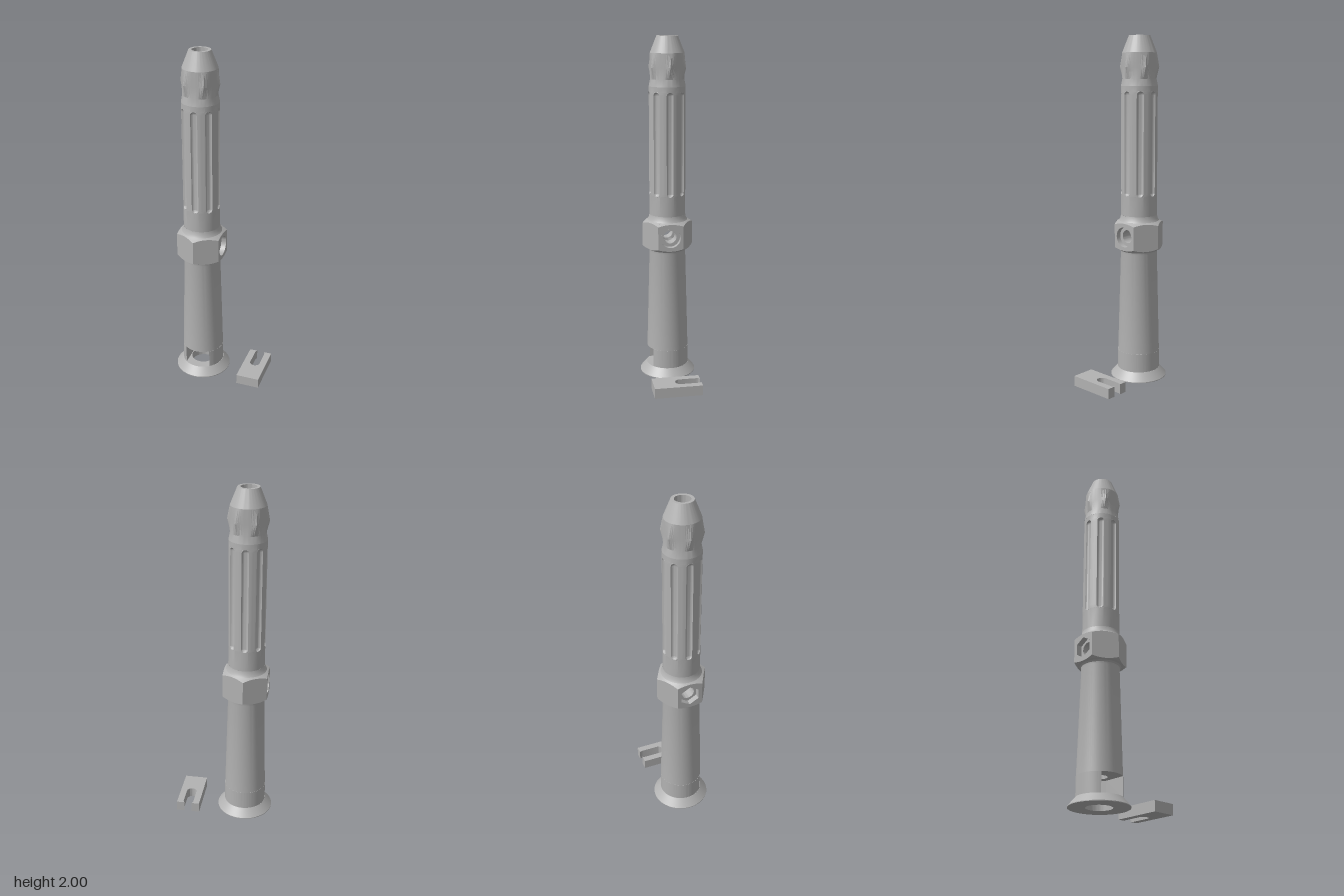
import * as THREE from 'three';
import { toCreasedNormals } from 'three/addons/utils/BufferGeometryUtils.js';

const V2 = (x, y) => new THREE.Vector2(x, y);
const grey = new THREE.MeshStandardMaterial({ color: 0xb2b2b2, side: THREE.DoubleSide });
grey.name = 'plain grey';

const HEX = 0.128;      // hex collar apothem
const BORE = 0.043;

function part(name, geo, parent, crease = 0.45) {
  const mesh = new THREE.Mesh(toCreasedNormals(geo, crease), grey);
  mesh.name = name;
  parent.add(mesh);
  return mesh;
}

const lathe = (pts, segs = 64, start = 0) =>
  new THREE.LatheGeometry(pts.map(p => V2(p[0], p[1])), segs, start);

// Skin over closed rings of points, listed from bottom to top
function loft(rings) {
  const n = rings[0].length, pos = rings.flat(2), idx = [];
  for (let i = 0; i < rings.length - 1; i++) {
    for (let j = 0; j < n; j++) {
      const k = (j + 1) % n, a = i * n, c = a + n;
      idx.push(a + j, c + j, a + k, a + k, c + j, c + k);
    }
  }
  const g = new THREE.BufferGeometry();
  g.setAttribute('position', new THREE.Float32BufferAttribute(pos, 3));
  g.setIndex(idx);
  g.computeVertexNormals();
  return g;
}

// Ring whose radius and height depend on the angle
function ring(radius, height, n = 72) {
  return Array.from({ length: n }, (_, j) => {
    const t = j / n * Math.PI * 2, r = radius(t);
    return [r * Math.cos(t), height(r), r * Math.sin(t)];
  });
}
const circle = (r, y) => ring(() => r, () => y);
// Hexagon radius; mid = angle of the first flat's centre
const hexRadius = (apothem, mid) => t => {
  const s = Math.PI / 3;
  const d = (((t - mid + s / 2) % s) + s) % s - s / 2;
  return apothem / Math.cos(d);
};

// Ring with eight round grooves of half width w
function flutedRing(r, y, w) {
  const pts = [], steps = 10, land = 4;
  const add = (t, rr) => pts.push([rr * Math.cos(t), y, rr * Math.sin(t)]);
  const half = Math.max(w, 0.0005) / r;
  for (let f = 0; f < 8; f++) {
    const c = f * Math.PI / 4;
    for (let i = 0; i <= steps; i++) {
      const u = i / steps * 2 - 1;
      add(c + half * u, r - 0.7 * w * Math.sqrt(1 - u * u));
    }
    for (let i = 1; i < land; i++) add(c + half + (Math.PI / 4 - 2 * half) * i / land, r);
  }
  return pts;
}

function slottedSection() {
  const r = 0.1235, w = 0.075, a = -Math.acos(w / r);
  const s = new THREE.Shape();
  s.absarc(0, 0, r, a, Math.PI - a, false);
  [[-w, 0.03], [-0.045, 0.075], [0.045, 0.075], [w, 0.03]].forEach(p => s.lineTo(p[0], p[1]));
  s.closePath();
  return new THREE.ExtrudeGeometry(s, { depth: 0.11, bevelEnabled: false, curveSegments: 48 })
    .rotateX(-Math.PI / 2).translate(0, 0.05, 0);
}

const collarTop = r => 0.94 - 0.6 * (r - HEX);
const collarLow = r => 0.78 + 0.6 * (r - HEX);
const HOLE_Y = 0.86;

// One collar side with curved upper and lower edges
function collarSide(hole) {
  const s = new THREE.Shape(), w = HEX * Math.tan(Math.PI / 6), pts = [];
  for (let i = 0; i <= 12; i++) {
    const u = w * (i / 6 - 1);
    pts.push(V2(u, collarLow(Math.hypot(HEX, u))));
  }
  for (let i = 12; i >= 0; i--) {
    const u = w * (i / 6 - 1);
    pts.push(V2(u, collarTop(Math.hypot(HEX, u))));
  }
  s.setFromPoints(pts);
  if (hole) s.holes.push(hole);
  return new THREE.ShapeGeometry(s, 32).translate(0, 0, HEX).rotateY(Math.PI / 2);
}

function hexPoints(r, y) {
  return Array.from({ length: 6 }, (_, i) => {
    const t = Math.PI / 6 + i * Math.PI / 3;
    return V2(r * Math.cos(t), y + r * Math.sin(t));
  });
}

function addCollar(body) {
  const collar = new THREE.Group();
  collar.name = 'hexCollar';
  body.add(collar);
  const hexR = hexRadius(HEX, 0);
  part('collarUpperChamfer', loft([ring(hexR, collarTop), circle(HEX, 0.94)]), collar);
  part('collarLowerChamfer', loft([circle(HEX, 0.78), ring(hexR, collarLow)]), collar);

  const round = new THREE.Path().absarc(0, HOLE_Y, 0.058, 0, Math.PI * 2, true);
  const socket = new THREE.Path().setFromPoints(hexPoints(0.06, HOLE_Y));
  for (let i = 0; i < 6; i++) {
    const hole = i === 0 ? round : i === 3 ? socket : null;
    part('collarSide', collarSide(hole), collar).rotation.y = i * Math.PI / 3;
  }
  // Stepped round hole on one side, hexagonal nut socket on the other
  part('roundSocket', lathe([[0.058, HEX], [0.058, 0.098], [0.038, 0.098], [0.038, 0.03]], 40)
    .rotateZ(-Math.PI / 2).translate(0, HOLE_Y, 0), collar);
  part('nutSocket', lathe([[0.06, HEX], [0.06, 0.095]], 6, Math.PI / 6)
    .rotateZ(Math.PI / 2).translate(0, HOLE_Y, 0), collar);
  const floor = new THREE.Shape(hexPoints(0.06, 0));
  floor.holes.push(new THREE.Path().absarc(0, 0, 0.038, 0, Math.PI * 2, true));
  part('nutSocketFloor', new THREE.ShapeGeometry(floor, 32).translate(0, 0, 0.095)
    .rotateY(-Math.PI / 2).translate(0, HOLE_Y, 0), collar);
  part('crossHole', lathe([[0.038, 0.095], [0.038, 0.03]], 40)
    .rotateZ(Math.PI / 2).translate(0, HOLE_Y, 0), collar);
}

function lockingPlate() {
  const s = new THREE.Shape(), cx = 0.214, a = Math.asin(0.02 / 0.03);
  s.moveTo(0.145, -0.138);
  s.lineTo(0.283, -0.138);
  s.lineTo(0.283, 0.14);
  s.absarc(cx, 0.12, 0.03, a, 0, true);
  s.absarc(cx, 0.02, 0.03, 0, -Math.PI, true);
  s.absarc(cx, 0.12, 0.03, Math.PI, Math.PI - a, true);
  s.lineTo(0.145, 0.14);
  s.closePath();
  return new THREE.ExtrudeGeometry(s, { depth: 0.06, bevelEnabled: false, curveSegments: 20 })
    .rotateX(-Math.PI / 2);
}

export function createModel() {
  const model = new THREE.Group();
  model.name = 'slottedHandle';
  const body = new THREE.Group();
  body.name = 'handleBody';
  body.position.x = -0.12;
  model.add(body);

  // Foot and lower barrel
  part('footFlange', lathe([[0.072, 0.05], [0.072, 0], [0.165, 0], [0.165, 0.004], [0.125, 0.05], [0.072, 0.05]]), body);
  part('slottedSection', slottedSection(), body);
  part('lowerBarrel', lathe([[BORE, 0.16], [0.1225, 0.16], [0.106, 0.755], [0.108, 0.768], [0.115, 0.776], [HEX, 0.78]]), body);
  addCollar(body);

  // Fluted grip
  part('gripFillet', lathe([[HEX, 0.94], [0.117, 0.947], [0.109, 0.96], [0.105, 0.98]]), body);
  const rows = [flutedRing(0.105, 0.98, 0), flutedRing(0.105, 1.095, 0)];
  const w = 0.02;
  for (let i = 0; i <= 8; i++) {
    const t = i / 8 * Math.PI / 2;
    rows.push(flutedRing(0.105, 1.115 - w * Math.cos(t), w * Math.sin(t)));
  }
  for (let i = 8; i >= 0; i--) {
    const t = i / 8 * Math.PI / 2;
    rows.push(flutedRing(0.105, 1.67 + w * Math.cos(t), w * Math.sin(t)));
  }
  rows.push(flutedRing(0.105, 1.72, 0));
  part('flutedGrip', loft(rows), body);

  // Faceted head and tapered nose
  const head = ring(hexRadius(0.0985, Math.PI / 6), () => 1.825);
  part('facetedHead', loft([circle(0.105, 1.72), circle(0.097, 1.76), head, circle(0.098, 1.905)]), body, 0.3);
  part('taperedNose', lathe([[0.098, 1.905], [0.06, 2], [BORE, 2]]), body);

  // Central bore, open where the cross hole passes
  part('upperBore', lathe([[BORE, 2], [BORE, 0.9]]), body);
  part('lowerBore', lathe([[BORE, 0.82], [BORE, 0.16]]), body);

  part('lockingPlate', lockingPlate(), model);
  return model;
}
